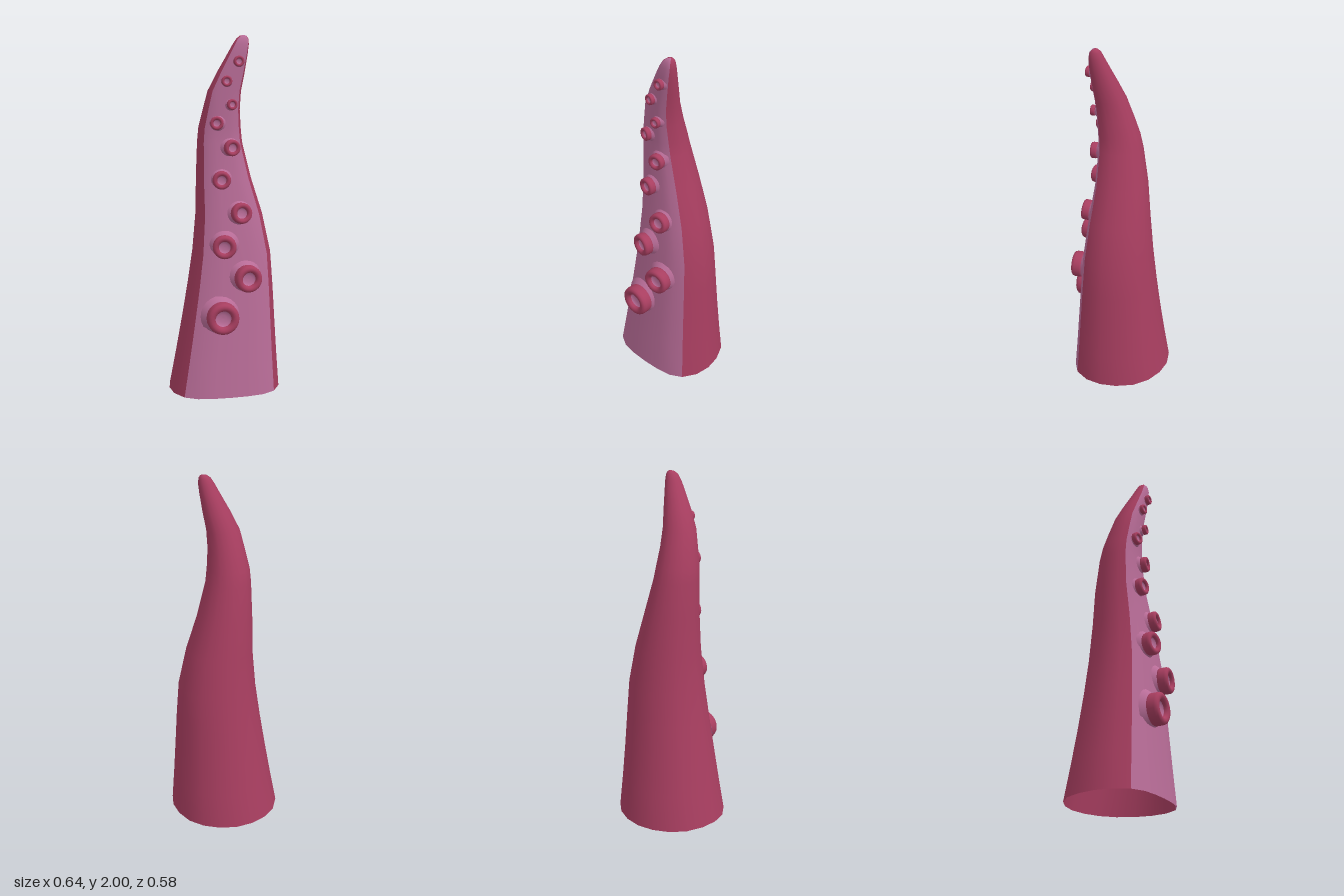
import * as THREE from 'three';

const red = new THREE.MeshStandardMaterial({ color: 0xa83e60, side: THREE.DoubleSide });
const pink = new THREE.MeshStandardMaterial({ color: 0xb96d98, side: THREE.DoubleSide });

// Tentacle rings: height, left edge x, right edge x, back z, front z
const rings = [
  [0, -0.32, 0.32, -0.292, 0.255],
  [0.2, -0.282, 0.305, -0.262, 0.237],
  [0.4, -0.246, 0.292, -0.235, 0.22],
  [0.6, -0.212, 0.28, -0.212, 0.203],
  [0.8, -0.182, 0.265, -0.192, 0.185],
  [1.02, -0.161, 0.217, -0.169, 0.16],
  [1.22, -0.157, 0.153, -0.145, 0.136],
  [1.42, -0.151, 0.1, -0.108, 0.127],
  [1.5, -0.145, 0.09, -0.088, 0.13],
  [1.6, -0.123, 0.081, -0.055, 0.136],
  [1.7, -0.1, 0.084, -0.02, 0.143],
  [1.8, -0.052, 0.1, 0.018, 0.15],
  [1.9, 0.003, 0.113, 0.056, 0.153],
  [1.95, 0.03, 0.118, 0.075, 0.15],
  [1.98, 0.05, 0.115, 0.086, 0.143],
  [1.995, 0.07, 0.106, 0.099, 0.13],
  [2, 0.09, 0.09, 0.114, 0.114],
];

// Half cross-sections in unit coordinates, mirrored into full strips
const frontHalf = [[0, 1], [0.31, 0.985], [0.59, 0.935], [0.81, 0.79]];
const backHalf = [[0, -1], [0.31, -0.94], [0.59, -0.78], [0.81, -0.53],
  [0.95, -0.18], [1, 0.165], [0.96, 0.5], [0.81, 0.79]];
const mirrored = (half) => [...half.slice(1).reverse().map(([u, v]) => [-u, v]), ...half];

// Lofts one lengthwise strip of the tentacle through all the rings
function strip(name, section, material) {
  const pos = [], index = [], n = section.length;
  rings.forEach(([y, xl, xr, zb, zf], i) => {
    section.forEach(([u, v], j) => {
      pos.push((xl + xr) / 2 + u * (xr - xl) / 2, y, (zb + zf) / 2 + v * (zf - zb) / 2);
      if (i < rings.length - 1 && j < n - 1) {
        const a = i * n + j;
        index.push(a, a + 1, a + n);
        if (i < rings.length - 2) index.push(a + 1, a + n + 1, a + n);
      }
    });
  });
  const g = new THREE.BufferGeometry();
  g.setAttribute('position', new THREE.Float32BufferAttribute(pos, 3));
  g.setIndex(index);
  g.computeVertexNormals();
  const mesh = new THREE.Mesh(g, material);
  mesh.name = name;
  return mesh;
}

function lathe(name, points, material) {
  const g = new THREE.LatheGeometry(points.map(([x, y]) => new THREE.Vector2(x, y)), 24);
  g.rotateX(Math.PI / 2);
  const mesh = new THREE.Mesh(g, material);
  mesh.name = name;
  return mesh;
}

// A sucker: flared skirt, rounded rim and hollow cup, with its face at the group origin
function sucker(r, depth) {
  const group = new THREE.Group();
  const s = depth / r;
  group.add(lathe('suckerSkirt', [[1.3, -s - 0.15], [1.12, -s + 0.06], [0.96, -s + 0.2], [0.85, -s + 0.35]], pink));
  group.add(lathe('suckerRim', [[0.85, -0.85], [0.97, -0.78], [1, -0.65], [1, -0.25], [0.96, -0.1],
    [0.86, -0.02], [0.75, 0], [0.62, -0.03], [0.53, -0.13], [0.5, -0.28]], red));
  group.add(lathe('suckerCup', [[0.5, -0.28], [0.42, -0.36], [0.22, -0.41], [0, -0.42]], pink));
  group.scale.setScalar(r);
  return group;
}

// Front surface z at a given height
function frontZ(y) {
  const i = rings.findIndex((r) => r[0] > y);
  const a = rings[i - 1], b = rings[i];
  return THREE.MathUtils.mapLinear(y, a[0], b[0], a[4], b[4]);
}

// Suckers: x, y, face z, radius, sideways turn
const suckers = [
  [-0.05, 0.465, 0.29, 0.089, 0],
  [0.1, 0.678, 0.265, 0.075, 0.1],
  [-0.037, 0.857, 0.24, 0.065, -0.15],
  [0.07, 1.04, 0.21, 0.058, 0.1],
  [-0.041, 1.22, 0.183, 0.05, -0.1],
  [0.024, 1.395, 0.172, 0.045, 0.15],
  [-0.065, 1.53, 0.16, 0.037, -0.2],
  [0.021, 1.63, 0.17, 0.029, 0.1],
  [-0.012, 1.755, 0.175, 0.029, -0.1],
  [0.055, 1.86, 0.177, 0.029, 0],
];

export function createModel() {
  const model = new THREE.Group();
  model.name = 'tentacle';
  model.add(strip('tentacleBack', mirrored(backHalf).reverse(), red));
  model.add(strip('tentacleUnderside', mirrored(frontHalf), pink));
  suckers.forEach(([x, y, z, r, turn], i) => {
    const s = sucker(r, z - frontZ(y) + 0.005);
    s.name = `sucker${i + 1}`;
    s.position.set(x, y, z);
    s.rotation.set(y > 0.95 && y < 1.1 ? -0.1 : 0, turn, 0);
    model.add(s);
  });
  return model;
}
